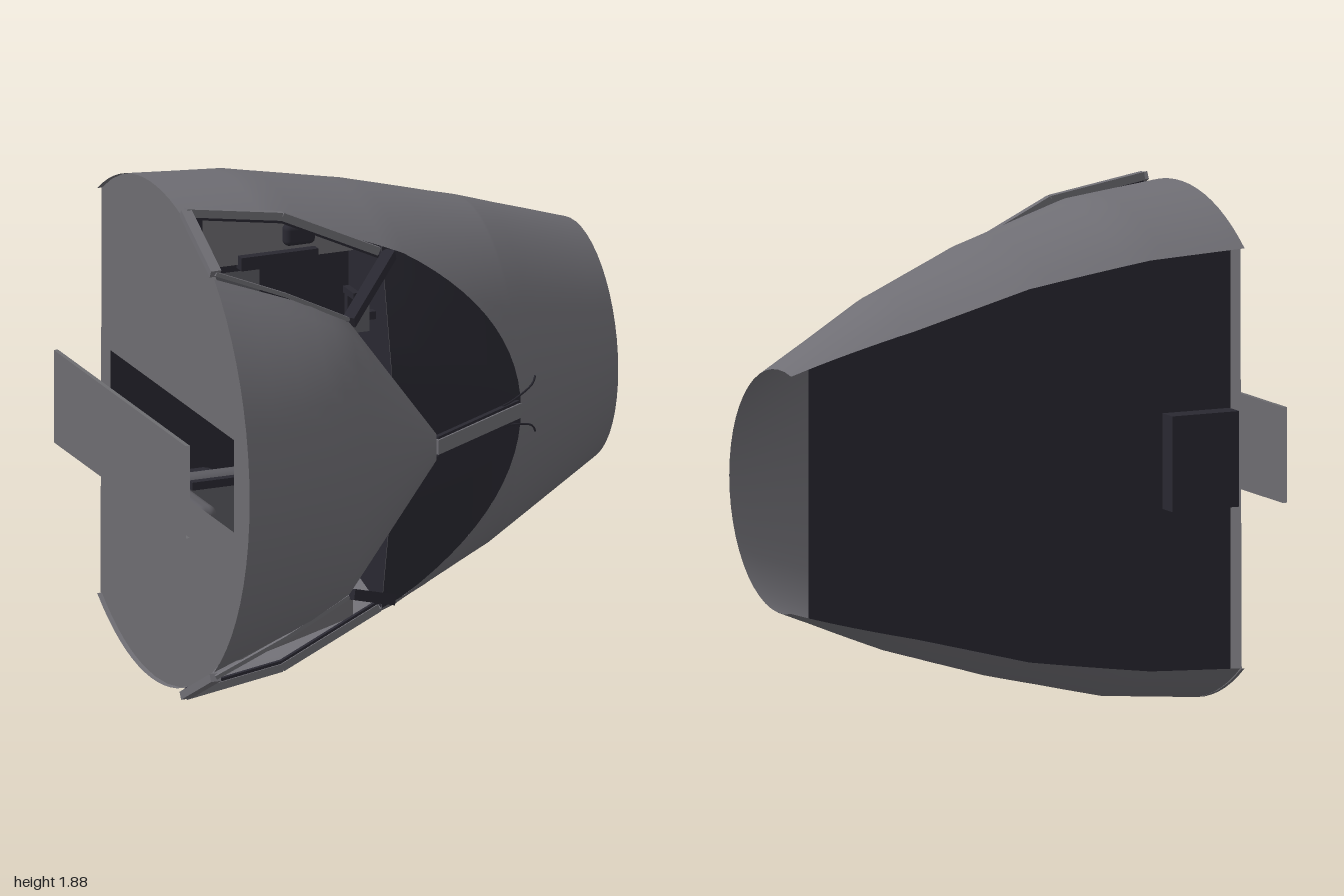
import * as THREE from 'three';
import { mergeVertices } from 'three/addons/utils/BufferGeometryUtils.js';
import { RoundedBoxGeometry } from 'three/addons/geometries/RoundedBoxGeometry.js';

// Cockpit section: nose along +x, roof along +z, span along y (centred, then lifted).
const mat = (name, color) => {
  const m = new THREE.MeshStandardMaterial({ color, side: THREE.DoubleSide });
  m.name = name;
  return m;
};

const FLOOR = -0.63, BOTTOM = -0.71, SILL = 0.085, EAVE = 0.38, CONSOLE = -0.16;
const REAR = -0.83, WALL = -0.812, SCREEN = 0.495;
const lerp = THREE.MathUtils.lerp;

// Hull stations: x, top height, centre height, half width, depth below centre
const STATIONS = [
  [REAR, 0.71, -0.20, 0.94, 0.885], [-0.45, 0.59, -0.22, 0.905, 0.88], [0.04, 0.38, -0.30, 0.785, 0.83],
  [SCREEN, SILL, -0.41, 0.645, 0.62], [1.0, -0.21, -0.62, 0.445, 0.41],
];
// Linear interpolation in rows sorted by their first value
function sample(rows, x) {
  let i = 0;
  while (i < rows.length - 2 && x > rows[i + 1][0]) i++;
  const a = rows[i], b = rows[i + 1], t = (x - a[0]) / (b[0] - a[0]);
  return a.slice(1).map((v, k) => lerp(v, b[k + 1], t));
}
function angleAt(x, z) {
  const [top, zc, , deep] = sample(STATIONS, x);
  return Math.asin(THREE.MathUtils.clamp((z - zc) / (z > zc ? top - zc : deep), -1, 1));
}
function hullPoint(x, a) {
  const [top, zc, ry, deep] = sample(STATIONS, x);
  return [x, ry * Math.cos(a), zc + (a > 0 ? top - zc : deep) * Math.sin(a)];
}
const halfWidth = (x, z) => hullPoint(x, angleAt(x, z))[1];

// Sheet of quads from a point rule; a column of quads may be left open
function sheet(rows, cols, point, skipCol = -1) {
  const pos = [], idx = [];
  for (let i = 0; i <= rows; i++) for (let j = 0; j <= cols; j++) pos.push(...point(i, j));
  for (let i = 0; i < rows; i++) for (let j = 0; j < cols; j++) {
    if (j === skipCol) continue;
    const a = i * (cols + 1) + j, b = a + cols + 1;
    idx.push(a, b, a + 1, b, b + 1, a + 1);
  }
  let g = new THREE.BufferGeometry();
  g.setAttribute('position', new THREE.Float32BufferAttribute(pos, 3));
  g.setIndex(idx);
  g = mergeVertices(g, 1e-4);
  g.computeVertexNormals();
  return g;
}

export function createModel() {
  const hull = mat('hull grey', 0x6f6e74);
  const wall = mat('bulkhead grey', 0x6d6c70);
  const navy = mat('dark trim', 0x292831);
  const seatGrey = mat('seat grey', 0x5c5b61);

  const root = new THREE.Group();
  const body = new THREE.Group();
  body.name = 'cockpit';
  body.position.y = 0.945;
  root.add(body);

  const add = (name, geo, m, x = 0, y = 0, z = 0) => {
    const mesh = new THREE.Mesh(geo, m);
    mesh.name = name;
    mesh.position.set(x, y, z);
    body.add(mesh);
    return mesh;
  };
  const box = (name, m, sx, sy, sz, x, y, z) => add(name, new THREE.BoxGeometry(sx, sy, sz), m, x, y, z);
  // Straight bar between two points: w across the xz plane, h along the span
  const bar = (name, m, a, b, w, h = w) => {
    const A = new THREE.Vector3(...a), B = new THREE.Vector3(...b);
    const mesh = new THREE.Mesh(new THREE.BoxGeometry(w, h, A.distanceTo(B)), m);
    mesh.name = name;
    mesh.position.copy(A).lerp(B, 0.5);
    mesh.lookAt(B);
    body.add(mesh);
  };
  // Upright plate across the cabin, from a (y, z) outline
  const crossPlate = (name, shape, m, x) => {
    const g = new THREE.ShapeGeometry(shape, 24);
    g.applyMatrix4(new THREE.Matrix4().makeBasis(
      new THREE.Vector3(0, 1, 0), new THREE.Vector3(0, 0, 1), new THREE.Vector3(1, 0, 0)));
    add(name, g, m, x);
  };
  const outline = pts => new THREE.Shape(pts.map(p => new THREE.Vector2(p[0], p[1])));

  // Lower hull and nose: open above the sill, closed ahead of the windscreen
  const xs = [];
  for (let k = 0; k < STATIONS.length - 1; k++) {
    for (let t = 0; t < 6; t++) {
      const f = k === 2 ? 1 - (1 - t / 6) ** 2 : t / 6;
      xs.push(lerp(STATIONS[k][0], STATIONS[k + 1][0], f));
    }
  }
  xs.push(1);
  const N = 14;
  add('hullSkin', sheet(xs.length - 1, 2 * N + 1, (i, j) => {
    const x = xs[i], right = j > N;
    const f = (right ? 2 * N + 1 - j : j) / N;
    const top = x >= SCREEN ? Math.PI / 2 : angleAt(x, SILL);
    const p = hullPoint(x, lerp(angleAt(x, BOTTOM), top, f));
    if (right) p[1] *= -1;
    return p;
  }, N), hull);

  // Roof hood: arched strips over a straight-sided pointed plan
  const eave = [[REAR, 0.745], [-0.45, 0.6], [-0.3, 0.515], [0.04, 0.05]];
  const roofX = [REAR, -0.7, -0.57, -0.45, -0.375, -0.3, -0.215, -0.13, -0.045, 0.04];
  const ARC = 0.88;
  add('roof', sheet(roofX.length - 1, 20, (i, j) => {
    const x = roofX[i], a = (j / 10 - 1) * ARC, top = sample(STATIONS, x)[0];
    const rise = (Math.cos(a) - Math.cos(ARC)) / (1 - Math.cos(ARC));
    return [x, sample(eave, x)[0] * Math.sin(a) / Math.sin(ARC), lerp(EAVE, top, rise)];
  }), hull);

  // Floor
  const floorEdge = [];
  for (let i = 0; i <= 16; i++) {
    const x = lerp(WALL, 0.89, i / 16);
    floorEdge.push([x, halfWidth(x, FLOOR) - 0.005]);
  }
  const floorLoop = [...floorEdge, ...floorEdge.slice().reverse().map(p => [p[0], -p[1]])];
  add('floor', new THREE.ShapeGeometry(outline(floorLoop)), navy, 0, 0, FLOOR);
  box('floorStep', navy, 0.27, 0.35, 0.08, WALL + 0.14, 0, -0.672);

  // Rear bulkhead with doorway
  const rim = [], a0 = angleAt(REAR, BOTTOM);
  for (let i = 0; i <= 36; i++) {
    const p = hullPoint(WALL, lerp(a0, Math.PI - a0, i / 36));
    rim.push([p[1], p[2]]);
  }
  const bulkhead = outline(rim);
  bulkhead.holes.push(new THREE.Path([[-0.175, -0.63], [-0.175, 0.52], [0.175, 0.52], [0.175, -0.63]]
    .map(p => new THREE.Vector2(...p))));
  crossPlate('bulkhead', bulkhead, wall, WALL);

  // Door standing behind the bulkhead: two faces joined by side edges
  for (const x of [-1, -0.984]) {
    crossPlate('doorFace', outline([[-0.175, -0.71], [0.175, -0.71], [0.175, 0.52], [-0.175, 0.52]]), wall, x);
  }
  for (const s of [-1, 1]) {
    const edge = new THREE.PlaneGeometry(0.016, 1.23);
    edge.rotateX(Math.PI / 2);
    add('doorEdge', edge, wall, -0.992, s * 0.175, -0.095);
  }

  // Glareshield: flat-topped ridge filling the sill outline, with a grey underside
  const ridge = v => SILL + 0.09 * Math.min(1, (1 - Math.abs(v)) * 1.6);
  const shield = height => sheet(14, 16, (i, j) => {
    const x = lerp(-0.05, SCREEN, 1 - (1 - i / 14) ** 2), v = j / 8 - 1;
    return [x, v * halfWidth(x, SILL), height(v, (x + 0.05) / (SCREEN + 0.05))];
  });
  add('glareshield', shield((v, t) => lerp(ridge(v), SILL, t)), navy);
  add('glareshieldUnderside', shield(() => SILL - 0.012), hull);

  // Instrument panel under the glareshield
  const panel = [[-0.6, -0.22], [-0.18, -0.22], [-0.18, -0.3], [0.18, -0.3], [0.18, -0.22], [0.6, -0.22]];
  for (let j = 16; j >= 0; j--) panel.push([(j / 8 - 1) * halfWidth(-0.05, SILL), ridge(j / 8 - 1)]);
  crossPlate('instrumentPanel', outline(panel), navy, -0.052);

  // Centre pedestal
  box('pedestal', wall, 0.32, 0.35, 0.32, -0.23, 0, -0.465);
  box('pedestalTop', navy, 0.32, 0.3, 0.02, -0.23, 0, -0.29);
  box('pedestalFront', seatGrey, 0.008, 0.3, 0.2, -0.067, 0, -0.52);

  // Windscreen centre post
  bar('centrePost', hull, [0.04, 0, 0.378], [0.485, 0, 0.09], 0.022, 0.055);
  for (const s of [-1, 1]) {
    bar('centrePostTrim', navy, [0.045, s * 0.033, 0.37], [0.48, s * 0.033, 0.088], 0.018, 0.01);

    // Windscreen corner pillar
    bar('cornerPillar', navy, [-0.3, s * 0.515, 0.375], [-0.02, s * 0.655, 0.09], 0.045, 0.04);

    // Side window frame
    const low = [[-0.825, s * 0.915, 0.1], [-0.45, s * 0.855, 0.1], [-0.07, s * 0.675, 0.1]];
    const high = [[-0.825, s * 0.765, 0.38], [-0.55, s * 0.65, 0.378], [-0.3, s * 0.525, 0.375]];
    for (let i = 0; i < 2; i++) {
      bar('windowSill', hull, low[i], low[i + 1], 0.025, 0.03);
      bar('windowHead', hull, high[i], high[i + 1], 0.015, 0.015);
      const inner = p => [p[0], p[1] - s * 0.02, p[2]];
      bar('windowSeal', navy, inner(low[i]), inner(low[i + 1]), 0.015, 0.012);
    }
    bar('windowRearPost', hull, low[0], high[0], 0.04, 0.03);
    box('rearTrim', navy, 0.08, 0.13, 0.03, -0.77, s * 0.82, 0.02);

    // Wiper
    const wiper = new THREE.CatmullRomCurve3([[0.4, 0.04, 0.14], [0.45, 0.045, 0.11], [0.555, 0.08, 0.05],
      [0.57, 0.105, 0.04]].map(p => new THREE.Vector3(p[0], s * p[1], p[2])));
    add('wiper', new THREE.TubeGeometry(wiper, 12, 0.004, 5), navy);

    // Side console, fitted to the hull
    add('sideConsole', sheet(8, 1, (i, j) => {
      const x = lerp(WALL, -0.06, i / 8);
      return [x, s * (j ? halfWidth(x, CONSOLE) - 0.008 : 0.6), CONSOLE];
    }), wall);
    box('consoleEdge', navy, 0.3, 0.05, 0.05, -0.36, s * 0.61, CONSOLE + 0.01);
    add('consoleLever', new RoundedBoxGeometry(0.12, 0.08, 0.05, 3, 0.02), navy, -0.285, s * 0.7, CONSOLE + 0.03);

    // Seat
    const seat = (name, sx, sy, sz, x, z, m = seatGrey) =>
      add(name, new RoundedBoxGeometry(sx, sy, sz, 3, Math.min(sx, sy, sz) * 0.4), m, x, s * 0.405, z);
    seat('headrest', 0.07, 0.24, 0.24, -0.7, 0.14);
    seat('seatBack', 0.08, 0.32, 0.4, -0.7, -0.18);
    seat('seatCushion', 0.36, 0.32, 0.09, -0.52, -0.38);
    seat('seatBase', 0.26, 0.22, 0.15, -0.54, -0.55, navy);
    for (const t of [-1, 1]) box('armrest', navy, 0.22, 0.03, 0.03, -0.56, s * 0.405 + t * 0.17, -0.22);

    // Yoke on a shaft from the panel
    bar('yokeShaft', navy, [-0.05, s * 0.41, 0.02], [-0.16, s * 0.41, 0.02], 0.03);
    box('yokeHub', seatGrey, 0.07, 0.1, 0.05, -0.12, s * 0.41, 0.03);
    box('yokeBar', navy, 0.025, 0.2, 0.025, -0.15, s * 0.41, 0.02);
    for (const t of [-1, 1]) box('yokeGrip', navy, 0.025, 0.025, 0.1, -0.15, s * 0.41 + t * 0.1, 0.04);
    box('eaveHandle', seatGrey, 0.025, 0.14, 0.02, -0.145, s * 0.12, 0.365);
    box('eaveHandleStem', seatGrey, 0.025, 0.015, 0.09, -0.145, s * 0.185, 0.325);

    // Rudder pedals: roller, shaft and slatted plate
    add('pedalRoller', new THREE.CylinderGeometry(0.035, 0.035, 0.12, 12), navy, 0.15, s * 0.285, -0.36);
    box('pedalShaft', navy, 0.03, 0.03, 0.28, 0.15, s * 0.285, -0.48);
    for (const t of [-1, 0, 1]) box('pedalSlat', navy, 0.02, 0.12, 0.025, 0.17, s * 0.285, -0.54 + t * 0.055);
    for (const t of [-1, 1]) box('pedalSide', navy, 0.02, 0.02, 0.14, 0.16, s * 0.285 + t * 0.055, -0.54);
  }
  return root;
}
